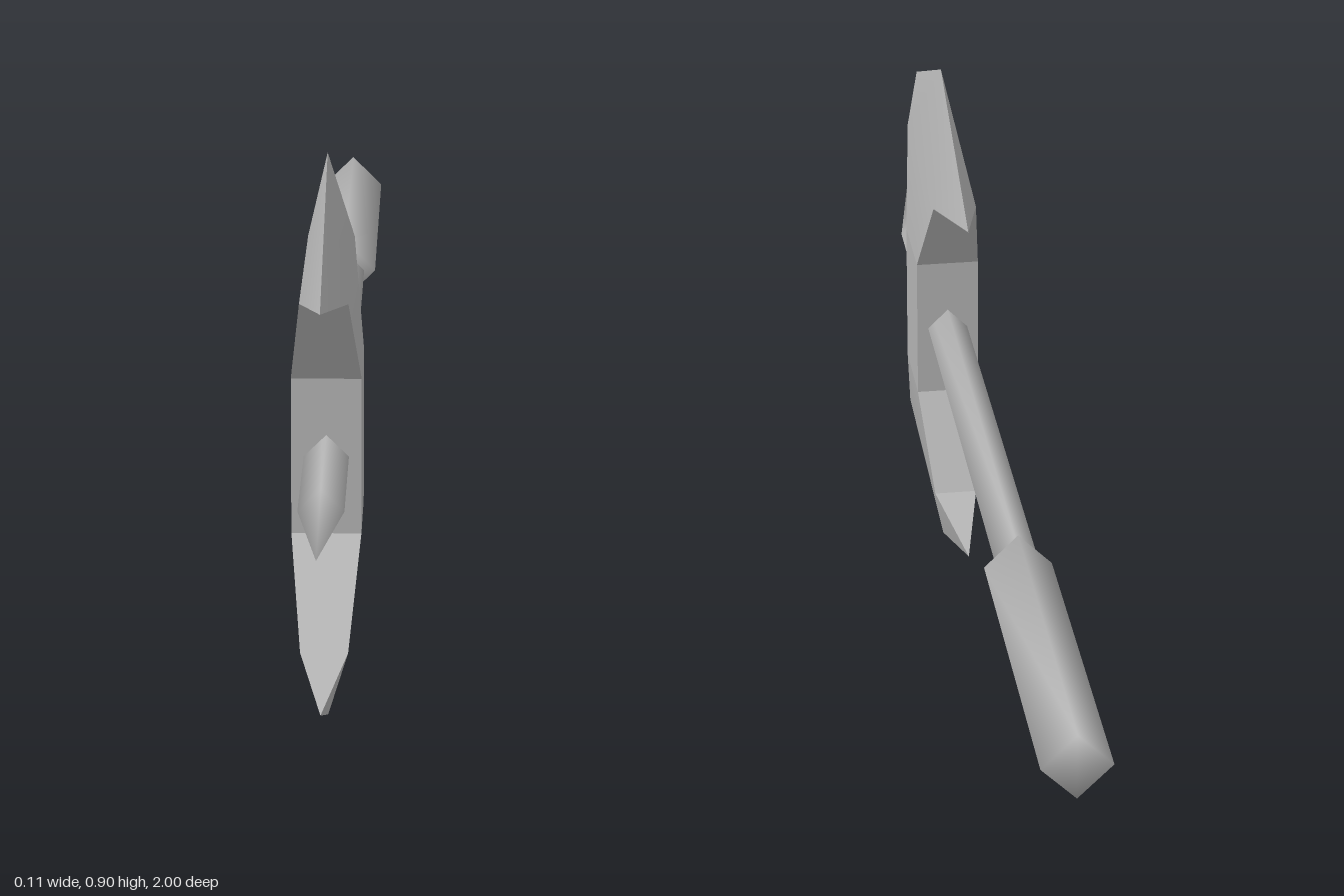
import * as THREE from 'three';
import { mergeVertices, toCreasedNormals } from 'three/addons/utils/BufferGeometryUtils.js';

const MID_Y = 0.457, BLADE_Z = 0.485;

// Four-sided rod along z from [radius, z] pairs, smoothed over all its edges
function rod(profile) {
  const lathe = new THREE.LatheGeometry(profile.map(([r, z]) => new THREE.Vector2(r, z)), 4);
  lathe.deleteAttribute('normal');
  lathe.deleteAttribute('uv');
  const geo = mergeVertices(lathe, 1e-4);
  geo.computeVertexNormals();
  return geo.rotateX(Math.PI / 2).translate(0, MID_Y, 0);
}

// One axe blade: thick at the neck, tapering to a knife edge. dir is 1 up, -1 down
function blade(dir) {
  // half thickness, height from the middle, offset along z
  const outline = [
    [0.053, 0.123, 0.075],  // front neck
    [0.036, 0.273, 0.185],  // front notch
    [0, 0.306, 0.345],      // front barb
    [0, 0.452, 0],          // crown of the edge
    [0, 0.306, -0.345],     // back barb
    [0.036, 0.273, -0.175], // back notch
    [0.053, 0.123, -0.075], // back neck
  ];
  const point = (i, side) => {
    const [x, y, z] = outline[i];
    return [x * side, MID_Y + y * dir, BLADE_Z + z];
  };
  const positions = [];
  const face = (a, b, c) => positions.push(...(dir > 0 ? [a, b, c] : [c, b, a]).flat());

  // Broad cheeks on both sides
  for (const [a, b, c] of [[0, 1, 6], [1, 5, 6], [1, 3, 5], [1, 2, 3], [3, 4, 5]]) {
    face(point(c, 1), point(b, 1), point(a, 1));
    face(point(a, -1), point(b, -1), point(c, -1));
  }
  // Undersides between the neck and the barbs
  for (const i of [0, 1, 4, 5]) {
    const j = i + 1;
    if (outline[i][0] > 0) face(point(i, -1), point(i, 1), point(j, 1));
    if (outline[j][0] > 0) face(point(i, -1), point(j, 1), point(j, -1));
  }
  const geo = new THREE.BufferGeometry();
  geo.setAttribute('position', new THREE.Float32BufferAttribute(positions, 3));
  return toCreasedNormals(geo, 0.5);
}

export function createModel() {
  const model = new THREE.Group();
  model.name = 'doubleAxe';
  const steel = new THREE.MeshStandardMaterial({ color: 0xb4b4b4 });
  steel.name = 'grey steel';

  const add = (name, geometry) => {
    const mesh = new THREE.Mesh(geometry, steel);
    mesh.name = name;
    model.add(mesh);
  };

  // Shaft with its pointed spike, and the thicker grip
  add('shaft', rod([[0, -0.45], [0.034, -0.45], [0.034, 0.8], [0, 1]]));
  add('grip', rod([[0, -1], [0.053, -1], [0.053, -0.425], [0, -0.425]]));

  // Head: central block and two mirrored blades
  add('headBlock', new THREE.BoxGeometry(0.106, 0.246, 0.15).translate(0, MID_Y, BLADE_Z));
  add('upperBlade', blade(1));
  add('lowerBlade', blade(-1));
  return model;
}
